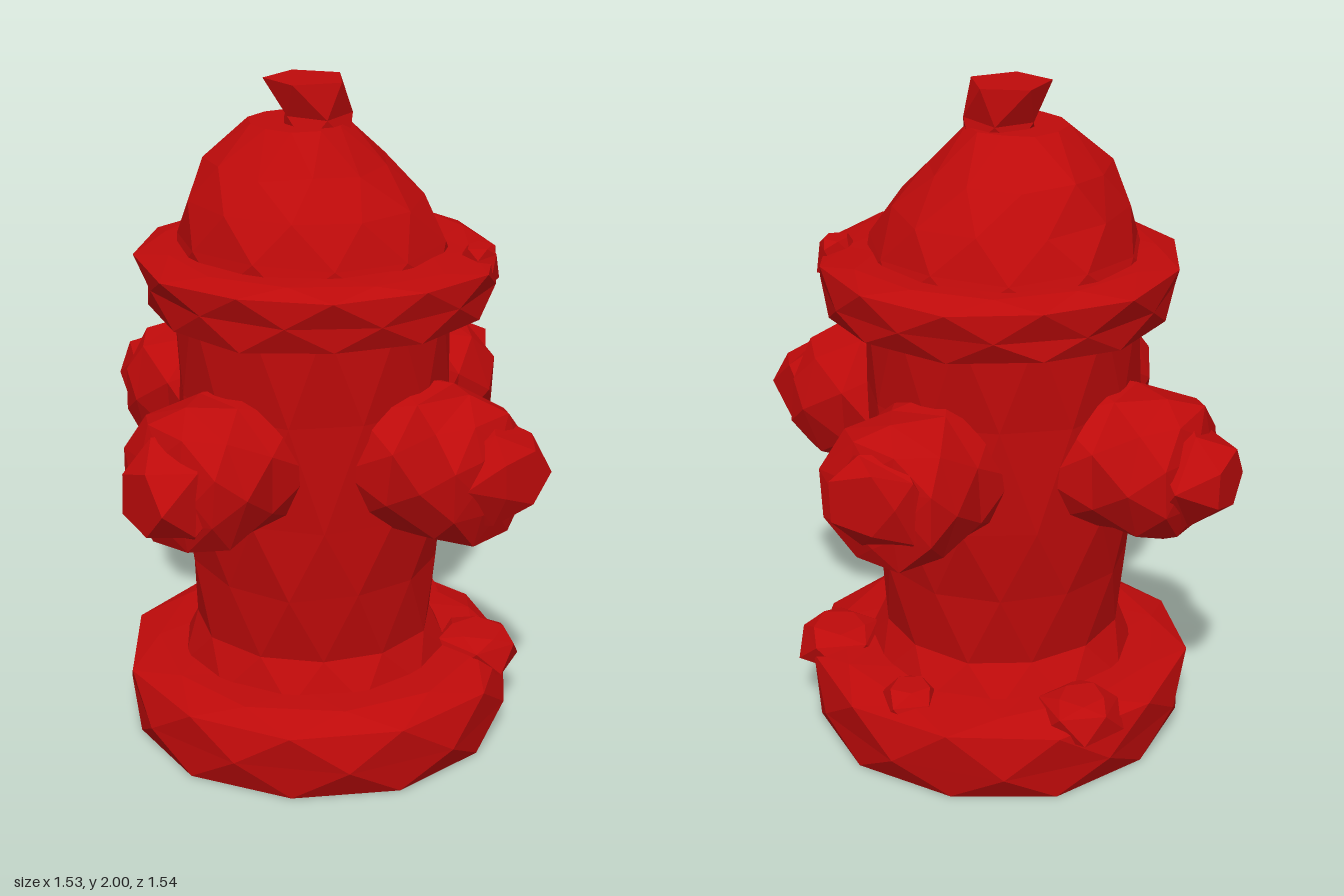
import * as THREE from 'three';

// Small seeded generator for the rough, hand-hewn facets
let seed = 7;
function rough(amount) {
  seed = (seed * 16807) % 2147483647;
  return (seed / 2147483647 * 2 - 1) * amount;
}

// Closed loft along y. Each ring: [height, radius, offsetX, offsetZ, slope along x].
// Rings are staggered by half a step so the sides break into triangles.
function loft(rings, sides, jitter, turn = 0) {
  const pos = [], index = [], last = rings.length - 1;
  rings.forEach(([y, r, ox = 0, oz = 0, slope = 0], k) => {
    const end = k === 0 || k === last;
    for (let i = 0; i < sides; i++) {
      const a = (i + k * 0.5) / sides * Math.PI * 2 + turn + rough(jitter);
      const rr = r + rough(jitter);
      const dx = Math.sin(a) * rr;
      pos.push(ox + dx, y + slope * dx + (end ? 0 : rough(jitter)), oz + Math.cos(a) * rr);
    }
  });
  for (let k = 0; k < last; k++) {
    for (let i = 0; i < sides; i++) {
      const j = (i + 1) % sides, b = k * sides, t = b + sides;
      index.push(b + i, b + j, t + i, t + i, b + j, t + j);
    }
  }
  const top = last * sides;
  for (let i = 1; i < sides - 1; i++) {
    index.push(0, i + 1, i, top, top + i, top + i + 1);
  }
  const g = new THREE.BufferGeometry();
  g.setAttribute('position', new THREE.Float32BufferAttribute(pos, 3));
  g.setIndex(index);
  const flat = g.toNonIndexed();
  flat.computeVertexNormals();
  return flat;
}

export function createModel() {
  seed = 7;
  const model = new THREE.Group();
  model.name = 'fireHydrant';
  const red = new THREE.MeshStandardMaterial({ color: 0xbe0a0a });
  red.name = 'hydrantRed';

  function add(name, geometry, parent = model) {
    const mesh = new THREE.Mesh(geometry, red);
    mesh.name = name;
    parent.add(mesh);
    return mesh;
  }

  // Foot flange with nearly upright sides
  add('base', loft([[0, 0.565], [0.1, 0.59], [0.215, 0.585], [0.25, 0.5], [0.255, 0.36]], 11, 0.01));

  // Barrel, slightly narrower above its flared foot
  add('barrel', loft([
    [0.22, 0.42, -0.01], [0.34, 0.365, -0.01, 0.01], [0.56, 0.385, -0.01, 0.01],
    [0.78, 0.405, -0.01, 0.01], [1.1, 0.405, -0.01, 0.005], [1.4, 0.41, -0.01, 0.005],
  ], 12, 0.008));

  // Rim under the bonnet
  add('rim', loft([[1.345, 0.4], [1.35, 0.495], [1.42, 0.51], [1.495, 0.525], [1.525, 0.45], [1.53, 0.36]], 12, 0.009));

  // Domed bonnet, leaning a little back from its left side
  add('bonnet', loft([
    [1.46, 0.41, -0.02], [1.55, 0.39, -0.02], [1.66, 0.345, -0.03, 0.01],
    [1.77, 0.265, -0.05, 0.025], [1.88, 0.145, -0.035, 0.04],
  ], 11, 0.01));

  // Operating nut on top
  add('topNut', loft([[1.83, 0.11, 0.01, 0.01], [1.9, 0.105, 0, 0.01], [2, 0.12, -0.025, 0.025]], 5, 0.006, 0.4));

  // Worn lumps along the flange and rim: [x, topY, z, radius]
  [[0.41, 0.29, -0.28, 0.14], [-0.43, 0.28, -0.24, 0.13], [0.03, 0.275, -0.45, 0.1], [0.41, 1.54, -0.22, 0.07]]
    .forEach(([x, y, z, r]) => {
      add('lump', loft([[-0.1, r], [-0.03, r * 0.9], [0, r * 0.55]], 5, 0.01)).position.set(x, y, z);
    });

  // Four outlets: direction, nut tip [distance, radius, sideways, down, slope]
  const outlets = [
    ['frontOutlet', 0, [0.75, 0.1, 0, 0.005, 0.2]],
    ['leftOutlet', Math.PI / 2, [0.735, 0.085, 0.03, -0.02, 0.3]],
    ['backOutlet', Math.PI, [0.74, 0.1, 0.02, -0.05, -0.3]],
    ['rightOutlet', -Math.PI / 2, [0.765, 0.085, 0, -0.005, 0]],
  ];
  for (const [name, angle, tip] of outlets) {
    const outlet = new THREE.Group();
    outlet.name = name;
    outlet.rotation.y = angle;
    model.add(outlet);
    const cap = loft([[0.28, 0.23], [0.43, 0.22], [0.56, 0.22], [0.64, 0.19], [0.665, 0.11]], 8, 0.012);
    const nut = loft([[0.6, 0.17], [0.66, 0.15, tip[2] * 0.5, tip[3] * 0.5], tip], 5, 0.01, 0.3);
    for (const [part, geometry] of [['outletCap', cap], ['outletNut', nut]]) {
      geometry.rotateX(Math.PI / 2);
      add(part, geometry, outlet).position.y = 0.955;
    }
  }
  return model;
}
